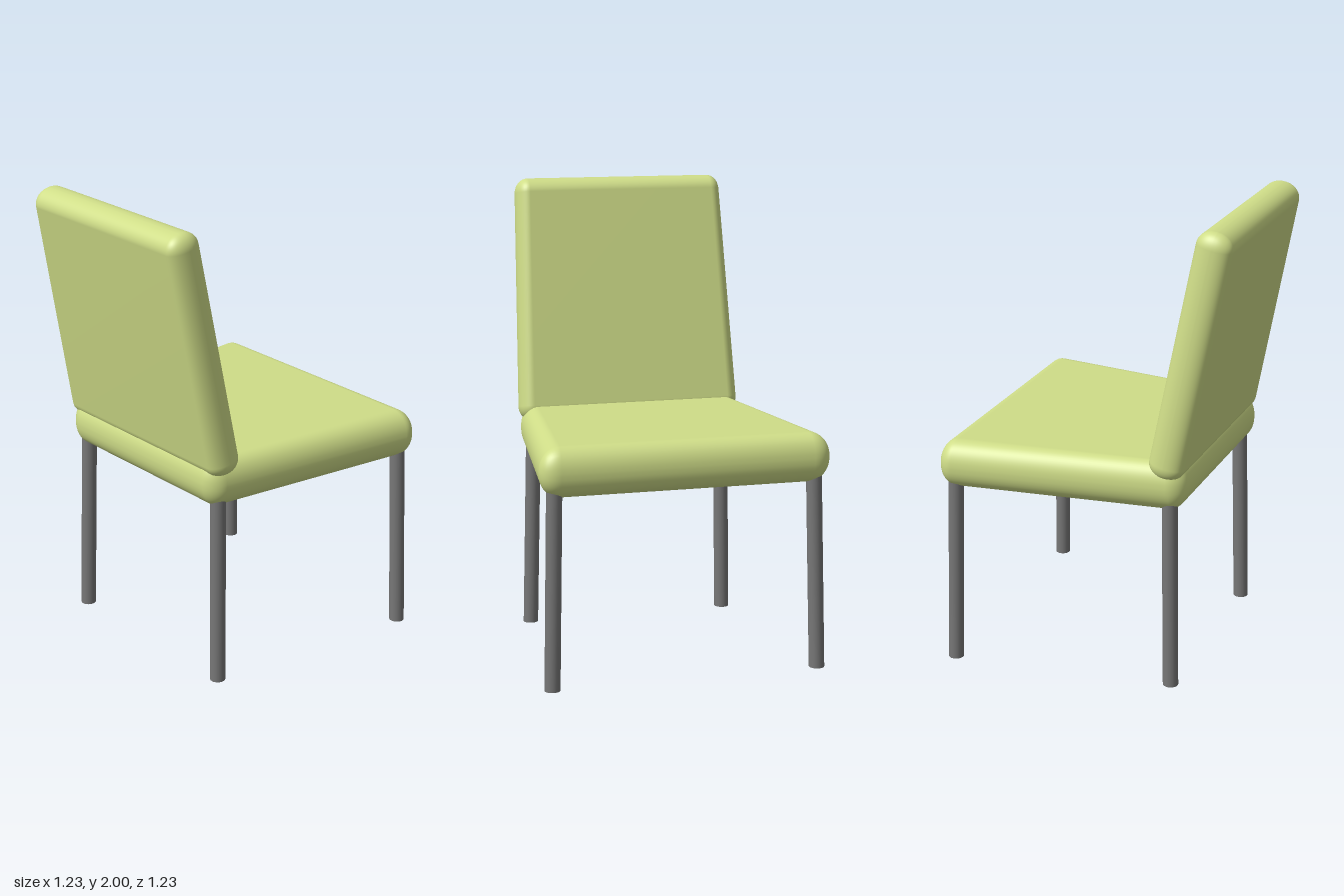
import * as THREE from 'three';
import { RoundedBoxGeometry } from 'three/addons/geometries/RoundedBoxGeometry.js';
import { mergeVertices } from 'three/addons/utils/BufferGeometryUtils.js';

const fabric = new THREE.MeshStandardMaterial({ color: 0xcfdd88 });
const metal = new THREE.MeshStandardMaterial({ color: 0x777777 });

// Padded slab with separate rounding per axis; taper(x, y) scales its depth.
function cushion(name, [w, h, d], [rx, ry, rz], taper) {
  let geo = new RoundedBoxGeometry(w / rx, h / ry, d / rz, 6, 1);
  geo.scale(rx, ry, rz);
  const p = geo.attributes.position;
  for (let i = 0; i < p.count; i++) {
    p.setZ(i, p.getZ(i) * taper(p.getX(i), p.getY(i)));
  }
  geo.deleteAttribute('uv');
  geo.deleteAttribute('normal');
  geo = mergeVertices(geo, 1e-5);
  geo.computeVertexNormals();
  const mesh = new THREE.Mesh(geo, fabric);
  mesh.name = name;
  return mesh;
}

// Round leg sheared between a top and a foot point, so the foot stays level.
function leg(name, [xTop, zTop], [xFoot, zFoot]) {
  const height = 0.86;
  const geo = new THREE.CylinderGeometry(0.033, 0.033, height, 20);
  geo.translate(0, height / 2, 0);
  const p = geo.attributes.position;
  for (let i = 0; i < p.count; i++) {
    const t = p.getY(i) / height;
    p.setX(i, p.getX(i) + xFoot + (xTop - xFoot) * t);
    p.setZ(i, p.getZ(i) + zFoot + (zTop - zFoot) * t);
  }
  const mesh = new THREE.Mesh(geo, metal);
  mesh.name = name;
  return mesh;
}

export function createModel() {
  const chair = new THREE.Group();
  chair.name = 'chair';

  // Seat, wider towards its front edge (+x)
  const seat = cushion('seat', [1.06, 0.21, 1.11], [0.075, 0.1, 0.08],
    (x) => 1 + 0.243 * x);
  seat.position.set(0.087, 0.907, 0);

  // Leaning backrest, narrower towards the top
  const back = cushion('backrest', [0.155, 1.075, 0.974], [0.075, 0.065, 0.055],
    (x, y) => 1 - 0.07 * y);
  back.position.set(-0.451, 1.468, 0);
  back.rotation.z = 0.19;
  chair.add(seat, back);

  // Slightly splayed legs, mirrored across z
  for (const [side, s] of [['Left', -1], ['Right', 1]]) {
    chair.add(
      leg('frontLeg' + side, [0.55, 0.553 * s], [0.569, 0.573 * s]),
      leg('rearLeg' + side, [-0.37, 0.438 * s], [-0.388, 0.456 * s]),
    );
  }
  return chair;
}
